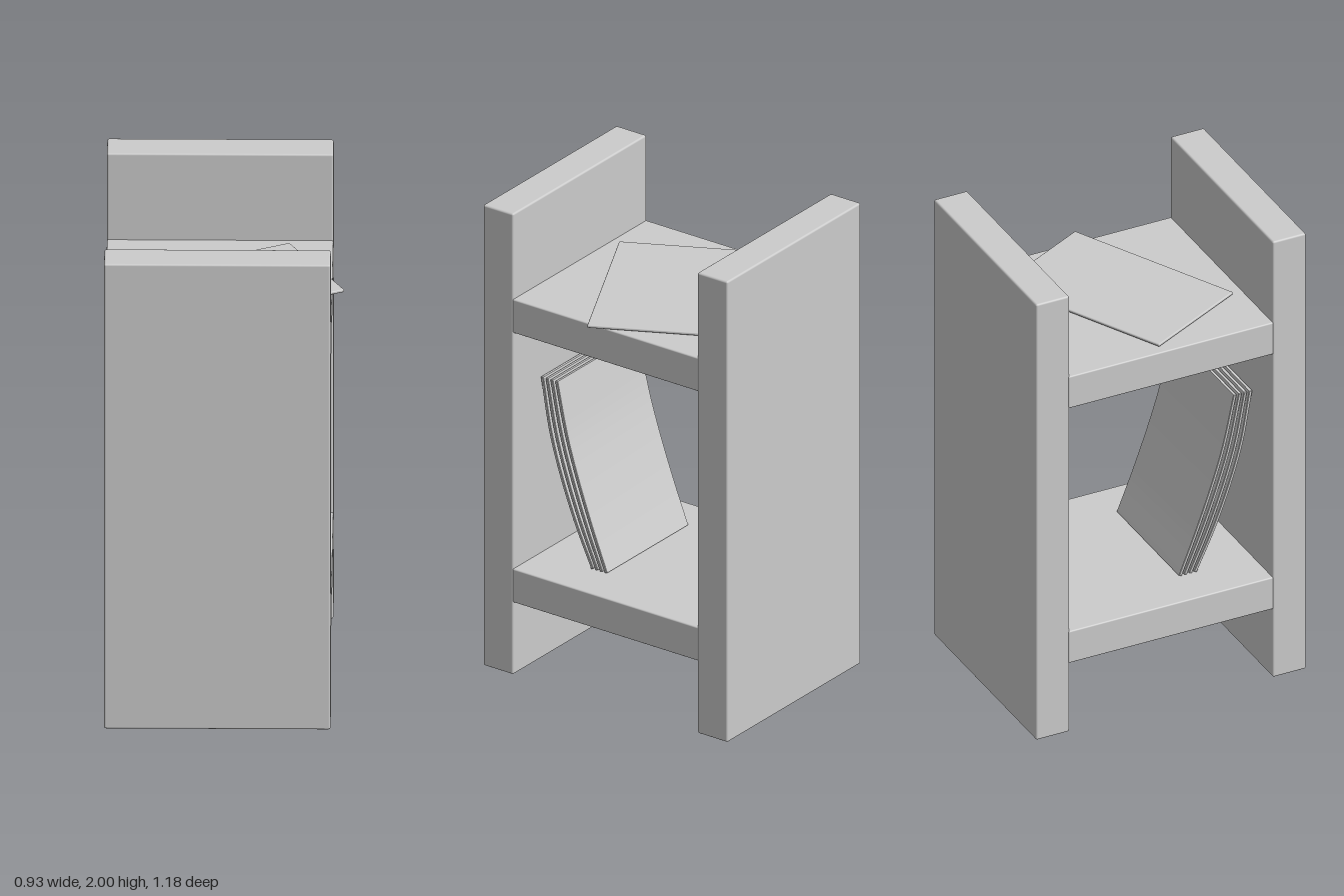
import * as THREE from 'three';
import { RoundedBoxGeometry } from 'three/addons/geometries/RoundedBoxGeometry.js';
import { toCreasedNormals } from 'three/addons/utils/BufferGeometryUtils.js';

export function createModel() {
  const group = new THREE.Group();
  const mat = new THREE.MeshStandardMaterial({ color: 0xcccccc });
  const boardX = -0.026, boardW = 0.886;

  function add(name, geo, x, y, z) {
    const mesh = new THREE.Mesh(geo, mat);
    mesh.name = name;
    mesh.position.set(x, y, z);
    group.add(mesh);
    return mesh;
  }

  // Two upright boards, front and back
  for (const [name, s] of [['frontBoard', 1], ['backBoard', -1]]) {
    add(name, new RoundedBoxGeometry(boardW, 2, 0.146, 2, 0.008), boardX, 1, s * 0.519);
  }

  // Two shelves between them
  for (const [name, y] of [['lowerShelf', 0.387], ['upperShelf', 1.557]]) {
    add(name, new RoundedBoxGeometry(boardW, 0.146, 0.9, 2, 0.006), boardX, y, 0);
  }

  // Magazine lying askew on the upper shelf
  const flat = add('flatMagazine', new RoundedBoxGeometry(0.768, 0.013, 0.488, 2, 0.005), 0.013, 1.643, 0.007);
  flat.rotation.y = 0.467;

  // Bent magazines leaning on the front board: cross-section in (z, y), extruded along x
  const thick = 0.013, width = 0.54, bevel = 0.002;
  for (let i = 0; i < 4; i++) {
    const spine = new THREE.CatmullRomCurve3([
      [0.193 - i * 0.022, 0.465],
      [0.278 - i * 0.026, 0.65],
      [0.352 - i * 0.027, 0.85],
      [0.397 - i * 0.026, 1.01],
      [0.435 - i * 0.023, 1.225],
    ].map(([z, y]) => new THREE.Vector3(z, y, 0)));
    const near = [], far = [];
    for (let k = 0; k <= 20; k++) {
      const p = spine.getPoint(k / 20), t = spine.getTangent(k / 20);
      const h = thick / 2 - bevel;
      near.push(new THREE.Vector2(p.x + t.y * h, p.y - t.x * h));
      far.unshift(new THREE.Vector2(p.x - t.y * h, p.y + t.x * h));
    }
    const geo = new THREE.ExtrudeGeometry(new THREE.Shape([...near, ...far]), {
      depth: width - 2 * bevel, bevelEnabled: true, bevelSize: bevel, bevelThickness: bevel, bevelSegments: 1,
    });
    geo.translate(0, 0, bevel - width / 2);
    geo.rotateY(-Math.PI / 2);
    add('leaningMagazine' + (i + 1), toCreasedNormals(geo, 0.5), -0.03, 0, 0);
  }

  return group;
}
